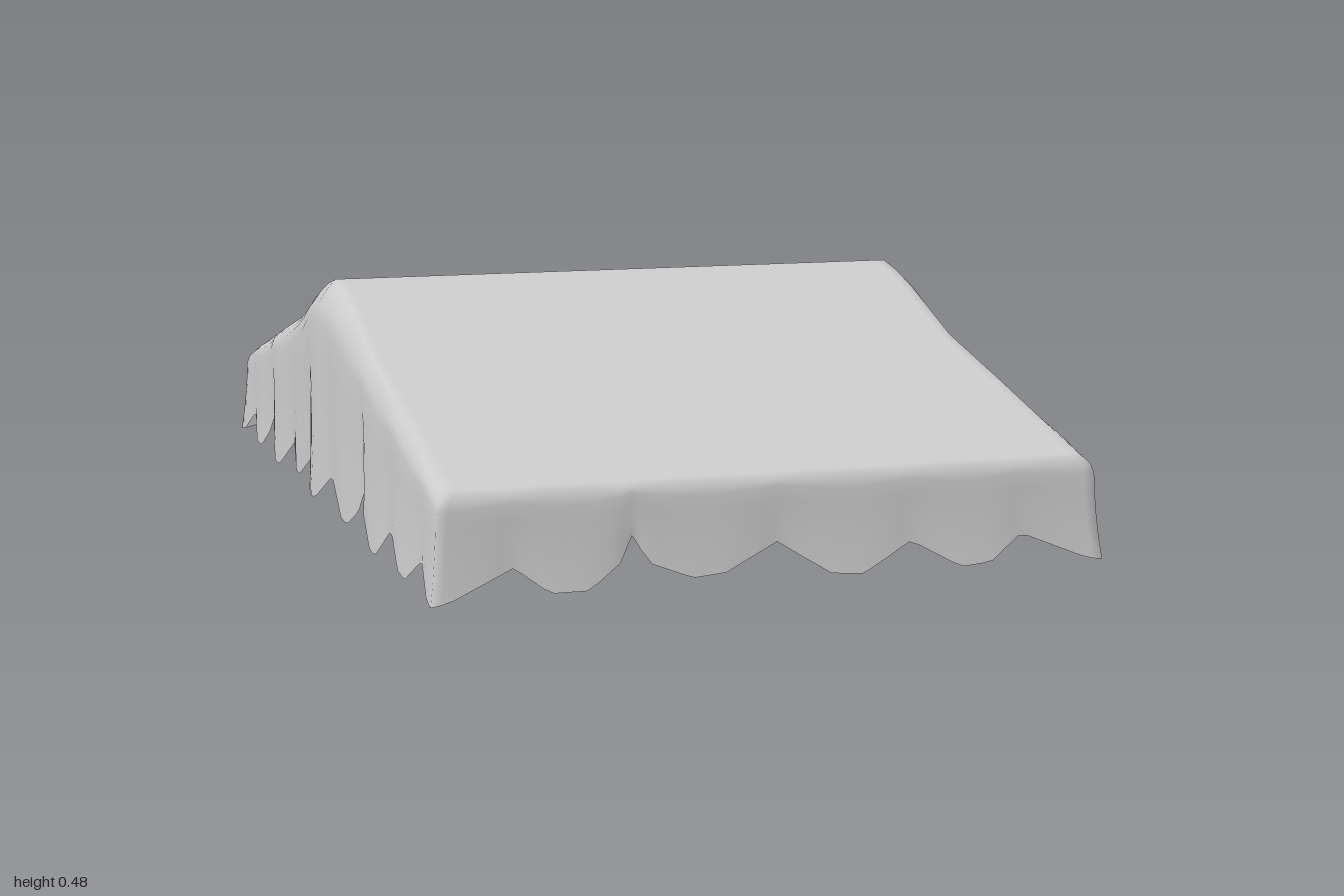
import * as THREE from 'three';

const HW = 0.63, HZ = 0.965;  // half width and half length of the roof top
const NX = 64, NZ = 96;       // cloth grid

// piecewise-linear lookup in a list of [position, value]
function lerpList(list, p) {
  if (p <= list[0][0]) return list[0][1];
  for (let i = 1; i < list.length; i++) {
    const [a, va] = list[i - 1], [b, vb] = list[i];
    if (p <= b) return va + (vb - va) * (p - a) / (b - a);
  }
  return list[list.length - 1][1];
}

// roof height against distance from the ridge
const roof = [[0, 0.493], [0.08, 0.475], [0.17, 0.445], [0.36, 0.37], [0.6, 0.31], [0.85, 0.245], [0.965, 0.215]];
const roofY = (z) => lerpList(roof, Math.abs(z));

// scalloped hems: position along the side, height
const hemFront = [[-0.63, 0.01], [-0.6, 0.015], [-0.49, 0.07], [-0.42, 0.02], [-0.35, 0.02], [-0.29, 0.07], [-0.27, 0.13],
  [-0.25, 0.065], [-0.16, 0.03], [-0.1, 0.035], [0, 0.085], [0.1, 0.02], [0.16, 0.015], [0.26, 0.07], [0.35, 0.015],
  [0.41, 0.02], [0.48, 0.07], [0.6, 0.015], [0.63, 0.01]];
const hemBack = [[-0.63, 0.01], [-0.6, 0.015], [-0.49, 0.07], [-0.41, 0.02], [-0.35, 0.015], [-0.26, 0.07], [-0.16, 0.015],
  [-0.1, 0.02], [0, 0.085], [0.1, 0.02], [0.16, 0.015], [0.26, 0.07], [0.35, 0.015], [0.41, 0.02], [0.48, 0.07],
  [0.6, 0.015], [0.63, 0.01]];
const hemLeft = [[-0.965, 0.01], [-0.92, 0.02], [-0.85, 0.07], [-0.76, 0.015], [-0.7, 0.015], [-0.6, 0.075], [-0.52, 0.01],
  [-0.47, 0.01], [-0.36, 0.08], [-0.27, 0.04], [-0.22, 0.045], [-0.11, 0.1], [-0.03, 0.03], [0.03, 0.03], [0.09, 0.055],
  [0.12, 0.13], [0.14, 0.09], [0.22, 0.025], [0.27, 0.015], [0.37, 0.07], [0.47, 0.01], [0.52, 0.01], [0.61, 0.075],
  [0.7, 0.02], [0.76, 0.015], [0.86, 0.07], [0.93, 0.015], [0.965, 0.01]];
const hemRight = [[-0.965, 0.01], [-0.92, 0.02], [-0.85, 0.07], [-0.76, 0.015], [-0.7, 0.015], [-0.64, 0.06], [-0.62, 0.12],
  [-0.6, 0.06], [-0.52, 0.01], [-0.47, 0.01], [-0.36, 0.08], [-0.27, 0.03], [-0.22, 0.035], [-0.11, 0.09], [-0.03, 0.03],
  [0.03, 0.03], [0.11, 0.09], [0.22, 0.025], [0.27, 0.02], [0.34, 0.06], [0.36, 0.12], [0.38, 0.06], [0.47, 0.01],
  [0.52, 0.01], [0.61, 0.075], [0.7, 0.02], [0.76, 0.015], [0.86, 0.07], [0.93, 0.015], [0.965, 0.01]];

function clothGeometry() {
  const pos = [], idx = [];
  const at = (i, j) => j * (NX + 1) + i;

  // roof: two slopes meeting at a ridge along x
  for (let j = 0; j <= NZ; j++) {
    for (let i = 0; i <= NX; i++) {
      const x = HW * (2 * i / NX - 1), z = HZ * (2 * j / NZ - 1);
      const sag = 0.006 * Math.cos(x / HW * Math.PI / 2) * Math.sin(Math.abs(z) / HZ * Math.PI);
      pos.push(x, roofY(z) - sag, z);
      if (i < NX && j < NZ) {
        const a = at(i, j), b = at(i, j + 1), c = at(i + 1, j + 1), d = at(i + 1, j);
        idx.push(a, b, c, a, c, d);
      }
    }
  }

  // rim of the roof: front, left, back, right
  const rim = [];
  for (let i = 0; i < NX; i++) rim.push([at(i, NZ), hemFront, 0]);
  for (let j = NZ; j > 0; j--) rim.push([at(NX, j), hemLeft, 2]);
  for (let i = NX; i > 0; i--) rim.push([at(i, 0), hemBack, 0]);
  for (let j = 0; j < NZ; j++) rim.push([at(0, j), hemRight, 2]);

  // hanging skirt with a rounded shoulder, flaring at each scallop
  let upper = rim.map((r) => r[0]);
  for (const s of [0.04, 0.1, 0.18, 0.35, 0.55, 0.78, 1]) {
    const lower = rim.map(([v, hem, axis]) => {
      const x = pos[v * 3], y = pos[v * 3 + 1], z = pos[v * 3 + 2];
      const bottom = lerpList(hem, axis === 0 ? x : z);
      const shoulder = 1 - Math.max(0, 1 - s * 5.5) ** 2;
      const flare = s * s * 0.015 * (0.08 - bottom) / 0.07;
      const pleat = 0.012 * s * Math.max(0, 1 - Math.abs(z) / 0.1);
      const outX = (0.025 + 0.018 * Math.exp(-((z / 0.22) ** 2))) * shoulder + flare + pleat * 0.6;
      const outZ = 0.016 * shoulder + flare;
      pos.push(x * (1 + outX / HW), y + (bottom - y) * s, z * (1 + outZ / HZ));
      return pos.length / 3 - 1;
    });
    for (let k = 0; k < rim.length; k++) {
      const n = (k + 1) % rim.length;
      idx.push(upper[k], lower[k], lower[n], upper[k], lower[n], upper[n]);
    }
    upper = lower;
  }

  const geo = new THREE.BufferGeometry();
  geo.setAttribute('position', new THREE.Float32BufferAttribute(pos, 3));
  geo.setIndex(idx);
  geo.computeVertexNormals();
  return geo;
}

export function createModel() {
  const group = new THREE.Group();
  group.name = 'canopy';
  const cloth = new THREE.Mesh(clothGeometry(),
    new THREE.MeshStandardMaterial({ color: 0xcccccc, side: THREE.DoubleSide }));
  cloth.name = 'canopyCloth';
  group.add(cloth);
  return group;
}
